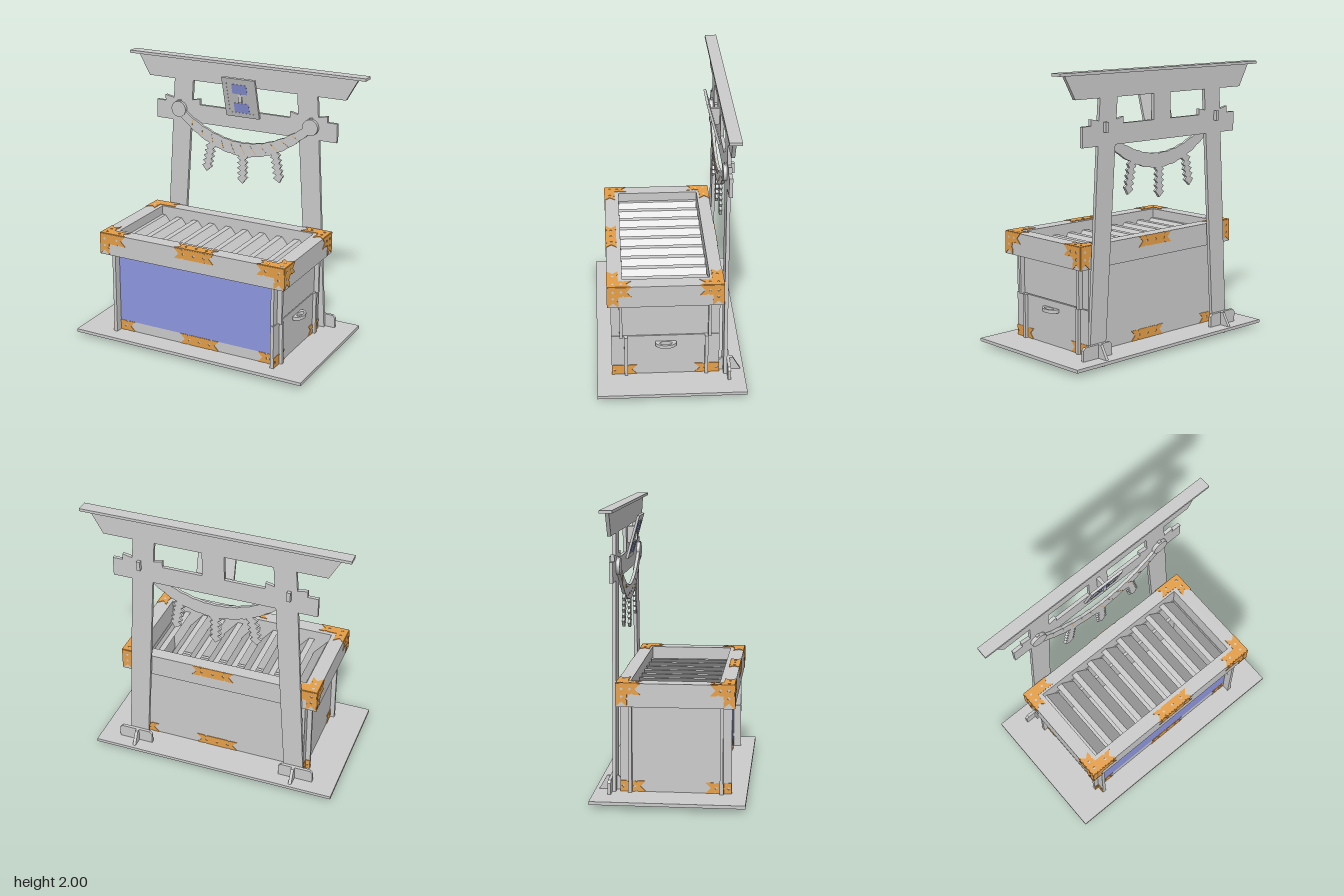
import * as THREE from 'three';

const mat = (color) => new THREE.MeshStandardMaterial({ color });

export function createModel() {
  const grey = mat(0xcccccc), blue = mat(0x8f98e2), orange = mat(0xe69f48);
  const model = new THREE.Group();

  // Helpers: box by its limits, extruded plate by outline points and holes
  const add = (name, geo, material = grey, parent = model) => {
    const mesh = new THREE.Mesh(geo, material);
    mesh.name = name;
    parent.add(mesh);
    return mesh;
  };
  const box = (name, x0, x1, y0, y1, z0, z1, material, parent) => {
    const geo = new THREE.BoxGeometry(x1 - x0, y1 - y0, z1 - z0);
    geo.translate((x0 + x1) / 2, (y0 + y1) / 2, (z0 + z1) / 2);
    return add(name, geo, material, parent);
  };
  const plate = (name, pts, depth, z, material, holes = [], parent) => {
    const shape = new THREE.Shape(pts.map(([x, y]) => new THREE.Vector2(x, y)));
    shape.holes.push(...holes);
    const geo = new THREE.ExtrudeGeometry(shape, { depth, bevelEnabled: false, curveSegments: 8 });
    geo.translate(0, 0, z);
    return add(name, geo, material, parent);
  };
  const poly = (pts) => new THREE.Path(pts.map(([x, y]) => new THREE.Vector2(x, y)));
  const round = (x, y, r) => new THREE.Path().absarc(x, y, r, 0, Math.PI * 2, true);
  const mirror = (pts) => pts.map(([x, y]) => [-x, y]).reverse();

  // Base board and the tabs below it
  box('baseBoard', -0.93, 0.908, 0.03, 0.053, -0.525, 0.525);
  for (const z of [0.345, -0.28])
    for (const x of [-0.45, 0.29]) box('baseTab', x, x + 0.25, 0, 0.031, z - 0.012, z + 0.012);
  for (const s of [-1, 1]) {
    box('footTabWide', s * 0.61 - 0.048, s * 0.61 + 0.048, 0, 0.031, -0.42, -0.39);
    box('footTabDeep', s * 0.61 - 0.014, s * 0.61 + 0.014, 0, 0.031, -0.46, -0.34);
  }

  // Chest: long panels and end walls cross each other near their ends
  const Y0 = 0.053, YD = 0.375, Y1 = 0.665;
  for (const [name, z] of [['frontPanel', 0.34], ['backPanel', -0.285]]) {
    box(name + 'Upper', -0.7, 0.68, YD, Y1, z, z + 0.022);
    box(name + 'Lower', -0.7, 0.62, Y0, YD, z, z + 0.022);
  }
  box('frontFacing', -0.64, 0.622, 0.13, Y1, 0.361, 0.364, blue);
  box('leftEndWall', -0.665, -0.64, Y0, Y1, -0.345, 0.42);
  box('rightEndWall', 0.622, 0.645, YD + 0.003, Y1, -0.345, 0.42);
  box('chestFloor', -0.65, 0.63, Y0, 0.07, -0.27, 0.35);

  // Drawer in the lower right end
  box('drawerFront', 0.622, 0.647, Y0, YD - 0.002, -0.345, 0.42);
  for (const z of [0.305, -0.265]) box('drawerSide', -0.4, 0.672, Y0, YD - 0.002, z, z + 0.024);

  // Drawer pull
  const pull = new THREE.Shape().absellipse(0, 0, 0.05, 0.075, 0, Math.PI * 2);
  pull.holes.push(new THREE.Path().absellipse(0.015, 0, 0.02, 0.045, 0, Math.PI * 2, true));
  const pullGeo = new THREE.ExtrudeGeometry(pull, { depth: 0.025, bevelEnabled: false });
  pullGeo.rotateX(-Math.PI / 2);
  add('drawerPull', pullGeo).position.set(0.66, 0.3, 0.035);

  // Rim frame around the open top
  const rim = plate('rimFrame', [[-0.75, -0.44], [0.73, -0.44], [0.73, 0.362], [-0.75, 0.362]], 0.163, 0, grey,
    [poly([[-0.645, -0.335], [-0.645, 0.27], [0.625, 0.27], [0.625, -0.335]])]);
  rim.geometry.rotateX(-Math.PI / 2);
  rim.position.y = Y1;

  // Slanted slats, sunk into the opening
  for (let i = 0; i < 9; i++) {
    const x = -0.64 + i * 0.142;
    plate('slat', [[x - 0.02, 0.76], [x + 0.09, 0.635], [x + 0.125, 0.635], [x + 0.022, 0.76]], 0.6, -0.267);
  }

  // Metal fittings: an L-shaped corner and a straight bar, with notched ends
  const W = 0.076, N = 0.036, D = 0.004;
  const corner = (a, b, su, sv) => {
    const pts = [[0, 0], [a, 0], [a - N, W / 2], [a, W], [a - 0.045, W], [a - 0.055, W - 0.01], [a - 0.065, W],
      [W, W], [W, b - 0.065], [W - 0.01, b - 0.055], [W, b - 0.045], [W, b], [W / 2, b - N], [0, b]];
    const holes = [[W / 2, W / 2], [a - 0.07, W / 2], [W / 2, b - 0.07]];
    return plate('cornerFitting', pts.map(([u, v]) => [u * su, v * sv]), D, 0, orange,
      holes.map(([u, v]) => round(u * su, v * sv, 0.009)));
  };
  const bar = (u0, u1, y, n0, n1) => {
    const bites = (u, s) => [[u + s * 0.055, 0], [u + s * 0.065, 0.01], [u + s * 0.075, 0]];
    const bottom = [...(n0 ? bites(u0, 1) : []), ...(n1 ? bites(u1, -1).reverse() : [])];
    const top = bottom.map(([u, v]) => [u, W - v]).reverse();
    const pts = [[u0, 0], ...bottom, [u1, 0], [u1 - (n1 ? N : 0), W / 2], [u1, W], ...top, [u0, W]];
    if (n0) pts.push([u0 + N, W / 2]);
    const holes = [u0 + (n0 ? 0.075 : 0.02), u1 - (n1 ? 0.075 : 0.02)];
    if (n0 && n1) holes.push((u0 + u1) / 2);
    return plate('barFitting', pts.map(([u, v]) => [u, v + y]), D, 0, orange, holes.map((u) => round(u, y + W / 2, 0.009)));
  };
  const rimTop = Y1 + 0.163;
  for (const sx of [-1, 1])
    for (const sz of [-1, 1]) {
      const X = sx > 0 ? 0.73 : -0.75, Z = sz > 0 ? 0.44 : -0.362;
      const face = corner(0.21, 0.16, -sx * sz, -1);
      face.rotation.y = sz > 0 ? 0 : Math.PI;
      const side = corner(0.165, 0.16, sx * sz, -1);
      side.rotation.y = sx * Math.PI / 2;
      const top = corner(0.21, 0.165, -sx, sz);
      top.rotation.x = -Math.PI / 2;
      for (const m of [face, side, top]) m.position.set(X, rimTop, Z);
    }
  for (const y of [0.751, Y0]) {
    const onRim = y > 0.5;
    bar(-0.13, 0.185, y, true, true).position.z = onRim ? 0.44 : 0.362;
    const back = bar(-0.185, 0.13, y, true, true);
    back.rotation.y = Math.PI;
    back.position.z = onRim ? -0.362 : -0.285;
  }
  const topBar = bar(-0.13, 0.185, 0, true, true);
  topBar.rotation.x = -Math.PI / 2;
  topBar.position.set(0, rimTop, 0.44);

  // Fittings along the foot of the chest; the crossing walls pass through them
  bar(-0.7, -0.52, Y0, false, true).position.z = 0.362;
  bar(0.5, 0.622, Y0, true, false).position.z = 0.362;
  for (const m of [bar(-0.622, -0.5, Y0, false, true), bar(0.52, 0.7, Y0, true, false)]) {
    m.rotation.y = Math.PI;
    m.position.z = -0.285;
  }
  for (const sx of [-1, 1])
    for (const [z0, z1, front] of [[0.24, 0.42, true], [-0.345, -0.17, false]]) {
      const m = sx > 0 ? bar(-z1, -z0, Y0, !front, front) : bar(z0, z1, Y0, front, !front);
      m.rotation.y = sx * Math.PI / 2;
      m.position.x = sx > 0 ? 0.647 : -0.665;
    }

  // Gate: one thin board with two windows, and a cap along the top
  const half = [[0.446, 1.5], [0.54, 0.053], [0.685, 0.053], [0.602, 1.5], [0.74, 1.5], [0.74, 1.64],
    [0.665, 1.64], [0.665, 1.685], [0.593, 1.67], [0.583, 1.82], [0.8, 1.82], [0.89, 1.98]];
  const gap = [[0.08, 1.64], [0.37, 1.64], [0.37, 1.685], [0.435, 1.67], [0.425, 1.82], [0.08, 1.82]];
  plate('gateBoard', [...half, ...mirror(half)], 0.025, -0.4, grey, [poly(gap), poly(mirror(gap))]);
  box('gateCap', -0.955, 0.955, 1.98, 2, -0.43, -0.345);

  // Feet, rope pegs and rope knots at both gate legs
  for (const s of [-1, 1]) {
    const c = s * 0.63;
    plate('footPlate', [[c - 0.13, 0.053], [c + 0.13, 0.053], [c + 0.13, 0.13], [c + 0.11, 0.15],
      [c - 0.11, 0.15], [c - 0.13, 0.13]], 0.022, -0.422);
    const fin = plate('footFin', [[0.345, 0.053], [0.5, 0.053], [0.445, 0.15], [0.365, 0.15], [0.345, 0.13]], 0.022, -0.011);
    fin.rotation.y = Math.PI / 2;
    fin.position.x = s * 0.615;
    box('ropePeg', s * 0.54 - 0.013, s * 0.54 + 0.013, 1.59, 1.66, -0.426, -0.36);
    const knot = new THREE.CylinderGeometry(0.06, 0.06, 0.025, 24);
    knot.rotateX(Math.PI / 2);
    add('ropeKnot', knot).position.set(s * 0.54, 1.592, -0.362);
  }

  // Hanging rope with a scalloped edge and slanted strand lines
  const ropeY = (x) => 1.35 + 0.82 * x * x;
  const upper = [], lower = [];
  for (let i = 0; i <= 60; i++) {
    const t = i / 30 - 1, x = t * 0.53, slope = 1.64 * x, len = Math.hypot(1, slope);
    const w = 0.024 + 0.024 * (1 - t * t) + 0.005 * Math.abs(Math.sin(i * Math.PI / 5));
    upper.push([x - slope / len * w, ropeY(x) + w / len]);
    lower.push([x + slope / len * w, ropeY(x) - w / len]);
  }
  plate('rope', [...lower, ...upper.reverse()], 0.022, -0.375);
  for (let i = -5; i <= 5; i++) {
    const x = i * 0.085;
    const strand = add('ropeStrand', new THREE.BoxGeometry(0.003, 0.085 - Math.abs(i) * 0.007, 0.002), orange);
    strand.position.set(x, ropeY(x), -0.353);
    strand.rotation.z = 0.55 + Math.atan(1.64 * x);
  }

  // Zigzag paper streamers
  for (const s of [-1, 0, 1]) {
    const left = [], right = [];
    for (let i = 0; i < 5; i++) {
      const y = -i * 0.04;
      left.push([-0.018, y], [-0.045, y - 0.022]);
      right.push([0.04, y - 0.012], [0.018, y - 0.034]);
    }
    const streamer = plate('paperStreamer', [...left, [0, -0.22], ...right.reverse(), [0, 0.02]], 0.02, -0.375);
    streamer.position.set(s * 0.265, s ? 1.355 : 1.305, 0);
    streamer.rotation.z = s * 0.18;
  }

  // Leaning tablet with raised border, two panels and its support
  const tablet = new THREE.Group();
  tablet.name = 'tablet';
  tablet.position.set(0, 1.6, -0.365);
  tablet.rotation.x = 0.27;
  model.add(tablet);
  box('tabletBoard', -0.135, 0.135, 0, 0.316, -0.008, 0.008, grey, tablet);
  plate('tabletBorder', [[-0.135, 0], [0.135, 0], [0.135, 0.316], [-0.135, 0.316]], 0.002, 0.008, grey,
    [poly([[-0.1, 0.035], [-0.1, 0.275], [0.1, 0.275], [0.1, 0.035]])], tablet);
  for (const y of [0.038, 0.192]) box('tabletPanel', -0.06, 0.06, y, y + 0.077, 0.007, 0.01, blue, tablet);
  box('tabletPeg', -0.013, 0.013, 1.72, 1.78, -0.34, -0.304);
  const support = plate('tabletSupport', [[0.38, 1.7], [0.38, 1.82], [0.31, 1.82], [0.34, 1.7]], 0.024, -0.012);
  support.rotation.y = Math.PI / 2;

  return model;
}
